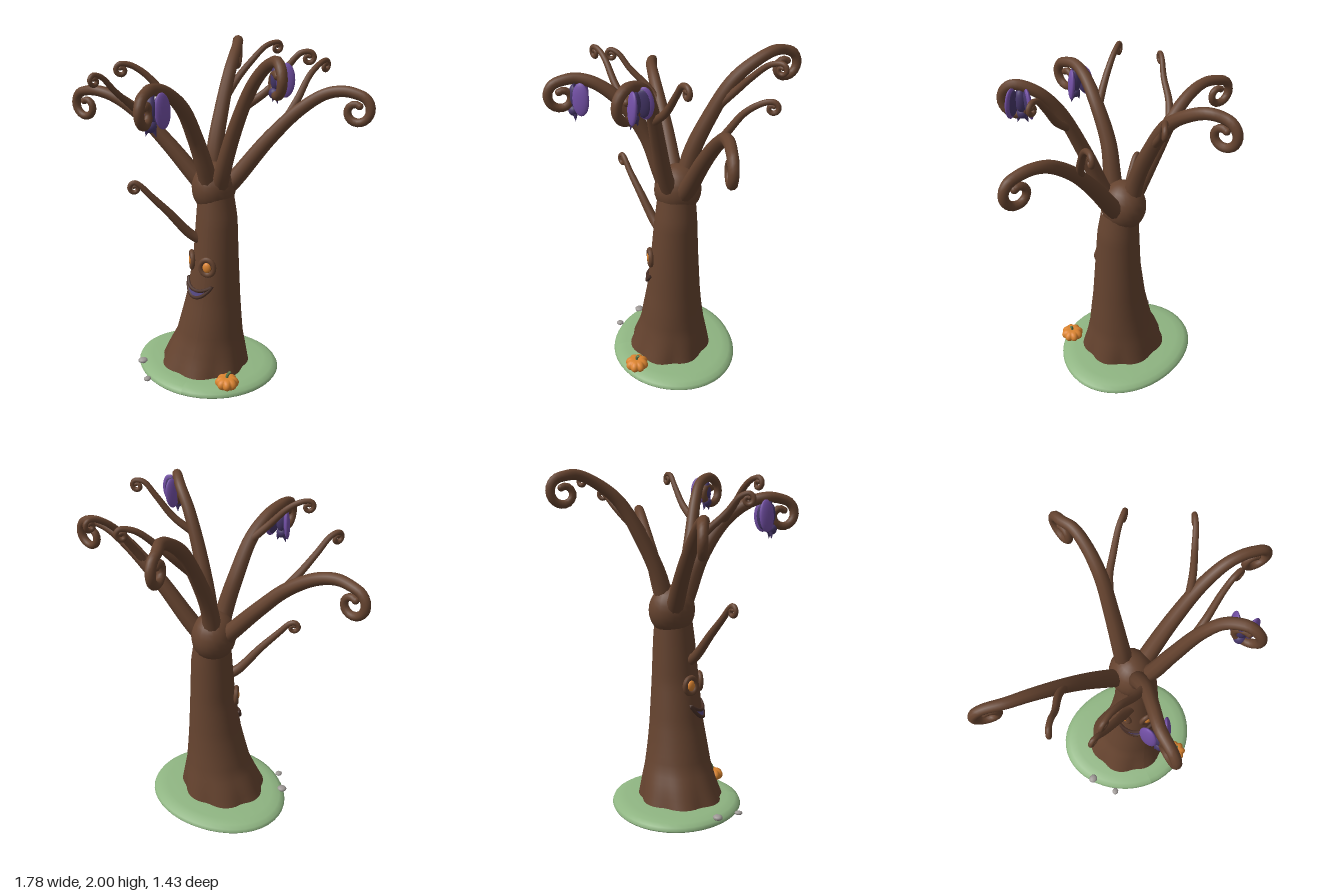
import * as THREE from 'three';
import { ParametricGeometry } from 'three/addons/geometries/ParametricGeometry.js';

const V = (x, y, z) => new THREE.Vector3(x, y, z);
const colour = (name, hex, side = THREE.FrontSide) => {
  const m = new THREE.MeshStandardMaterial({ color: hex, side });
  m.name = name;
  return m;
};

export function createModel() {
  const bark = colour('bark', 0x65432f);
  const darkBark = colour('darkBark', 0x4a3128);
  const grass = colour('grass', 0x8fb582);
  const orange = colour('orange', 0xdb8430);
  const stemGreen = colour('stemGreen', 0x5f7a4c);
  const stone = colour('stone', 0x9d9895);
  const batDark = colour('batDark', 0x46376a);
  const batWing = colour('batWing', 0x7350a6);
  const mouthPurple = colour('mouthPurple', 0x574a86, THREE.DoubleSide);

  const model = new THREE.Group();
  model.name = 'spookyTree';
  const add = (name, geo, mat, pos = [0, 0, 0], parent = model) => {
    const mesh = new THREE.Mesh(geo, mat);
    mesh.name = name;
    mesh.position.set(...pos);
    parent.add(mesh);
    return mesh;
  };
  const ball = (name, mat, pos, scale, parent) => {
    const mesh = add(name, new THREE.SphereGeometry(1, 20, 14), mat, pos, parent);
    mesh.scale.set(...scale);
    return mesh;
  };
  const surface = (fn, nu, nv) => {
    const g = new ParametricGeometry((u, v, t) => t.copy(fn(u, v)), nu, nv);
    g.computeVertexNormals();
    return g;
  };

  // Trunk: elliptical rings, each row is y, min x, max x, min z, max z
  const rows = [
    [0.03, -0.30, 0.25, -0.205, 0.305], [0.15, -0.25, 0.23, -0.185, 0.262],
    [0.25, -0.20, 0.212, -0.165, 0.235], [0.38, -0.165, 0.202, -0.147, 0.213],
    [0.5, -0.135, 0.192, -0.135, 0.192], [0.75, -0.093, 0.177, -0.12, 0.165],
    [1.0, -0.078, 0.165, -0.11, 0.14], [1.14, -0.07, 0.14, -0.1, 0.12],
  ];
  // Point on the bark; angle 0 faces +z and grows towards +x
  const onTrunk = (angle, y, out = 0) => {
    let i = 0;
    while (i < rows.length - 2 && y > rows[i + 1][0]) i++;
    const f = (y - rows[i][0]) / (rows[i + 1][0] - rows[i][0]);
    const [, x0, x1, z0, z1] = rows[i].map((a, k) => THREE.MathUtils.lerp(a, rows[i + 1][k], f));
    const flare = Math.max(0, 1 - y / 0.4) ** 2;
    const lobe = 1 + flare * (0.11 * Math.abs(Math.cos(3.5 * angle - 0.6)) - 0.07);
    const rx = (x1 - x0) / 2 * lobe + out, rz = (z1 - z0) / 2 * lobe + out;
    return V((x0 + x1) / 2 + rx * Math.sin(angle), y, (z0 + z1) / 2 + rz * Math.cos(angle));
  };
  add('trunk', surface((u, v) => onTrunk(u * Math.PI * 2, 0.03 + 1.11 * v), 56, 30), bark);
  ball('crown', bark, [0.017, 1.18, 0], [0.128, 0.15, 0.138]);

  // Branch: tapered tube through points, ending in a spiral curl around a centre
  const branch = (name, pts, centre, heading, R, r0, r1) => {
    const c = V(...centre), h = V(heading[0], 0, heading[1]).normalize();
    const path = pts.map(p => V(...p));
    const steps = 13, turn = Math.PI * 2 * 1.08;
    for (let i = 0; i <= steps; i++) {
      const t = i / steps, a = t * turn, r = R * (1 - 0.66 * t);
      path.push(c.clone().addScaledVector(h, r * Math.sin(a)).add(V(0, r * Math.cos(a), 0)));
    }
    const curve = new THREE.CatmullRomCurve3(path, false, 'centripetal');
    const seg = 72, sides = 10;
    const geo = new THREE.TubeGeometry(curve, seg, 1, sides);
    const p = geo.attributes.position, q = V(0, 0, 0);
    for (let i = 0; i <= seg; i++) {
      const mid = curve.getPointAt(i / seg);
      const r = r1 + (r0 - r1) * (1 - i / seg) ** 1.1;
      for (let j = 0; j <= sides; j++) {
        const k = i * (sides + 1) + j;
        q.fromBufferAttribute(p, k).sub(mid).multiplyScalar(r).add(mid);
        p.setXYZ(k, q.x, q.y, q.z);
      }
    }
    add(name, geo, bark);
    ball(name + 'Tip', bark, path[path.length - 1].toArray(), [r1, r1, r1]);
  };

  // Five main limbs
  branch('rightLimb', [[0, 1.13, 0], [-0.1, 1.24, 0.01], [-0.26, 1.42, 0.03], [-0.41, 1.57, 0.055], [-0.57, 1.67, 0.07],
    [-0.69, 1.7, 0.07]], [-0.79, 1.6, 0.05], [-1, -0.15], 0.09, 0.056, 0.02);
  branch('leftLimb', [[0.04, 1.12, 0], [0.14, 1.24, -0.04], [0.32, 1.48, -0.09], [0.48, 1.65, -0.125],
    [0.62, 1.745, -0.14], [0.72, 1.765, -0.14]], [0.79, 1.665, -0.135], [1, 0.05], 0.09, 0.056, 0.02);
  branch('frontLeftLimb', [[0.06, 1.15, 0.03], [0.1, 1.28, 0.08], [0.19, 1.55, 0.13], [0.31, 1.82, 0.18],
    [0.4, 1.93, 0.225]], [0.475, 1.87, 0.295], [0.62, 0.78], 0.097, 0.052, 0.02);
  branch('frontLimb', [[0.02, 1.15, 0.05], [0.01, 1.3, 0.1], [-0.02, 1.5, 0.17], [-0.04, 1.7, 0.3],
    [-0.07, 1.8, 0.43], [-0.09, 1.83, 0.54]], [-0.085, 1.73, 0.62], [0.1, 1], 0.09, 0.056, 0.02);
  branch('backLimb', [[0, 1.15, -0.03], [-0.01, 1.38, -0.08], [-0.01, 1.6, -0.18], [-0.01, 1.81, -0.31],
    [-0.025, 1.91, -0.44], [-0.05, 1.95, -0.54]], [-0.085, 1.85, -0.61], [-0.25, -1], 0.09, 0.056, 0.02);

  // Thin twigs
  const twig = (name, pts, centre, heading, r0 = 0.024) => branch(name, pts, centre, heading, 0.033, r0, 0.012);
  twig('rightTwig', [[-0.38, 1.55, 0.05], [-0.44, 1.64, 0.12], [-0.49, 1.74, 0.22], [-0.53, 1.82, 0.28]],
    [-0.555, 1.805, 0.32], [-0.4, 0.9]);
  twig('frontTwig', [[-0.03, 1.67, 0.27], [-0.13, 1.78, 0.33], [-0.22, 1.88, 0.37], [-0.28, 1.92, 0.4]],
    [-0.32, 1.895, 0.425], [-0.85, 0.5]);
  twig('leftTwig', [[0.4, 1.58, -0.11], [0.45, 1.7, -0.18], [0.49, 1.82, -0.26], [0.53, 1.88, -0.34]],
    [0.545, 1.855, -0.38], [0.35, -0.9]);
  twig('frontLeftTwig', [[0.26, 1.7, 0.16], [0.37, 1.79, 0.11], [0.46, 1.91, 0.07], [0.52, 1.98, 0.05]],
    [0.56, 1.955, 0.035], [0.9, -0.35]);
  twig('backTwig', [[0, 1.67, -0.23], [0.04, 1.77, -0.32], [0.09, 1.85, -0.38], [0.16, 1.94, -0.46]],
    [0.21, 1.925, -0.51], [0.65, -0.75]);
  twig('lowTwig', [[-0.02, 0.87, 0.09], [-0.08, 0.92, 0.13], [-0.18, 1.06, 0.2], [-0.27, 1.17, 0.255],
    [-0.32, 1.23, 0.28]], [-0.345, 1.21, 0.29], [-0.85, 0.45], 0.032);

  // Eyes: raised ring, dark socket and orange ball
  for (const [name, angle] of [['leftEye', 0.05], ['rightEye', -1.03]]) {
    const eye = new THREE.Group();
    eye.name = name;
    eye.position.copy(onTrunk(angle, 0.74, 0.002));
    eye.rotation.y = angle;
    model.add(eye);
    add('eyeRing', new THREE.TorusGeometry(0.042, 0.015, 10, 28), bark, [0, 0, 0.004], eye).scale.y = 1.12;
    ball('eyeSocket', darkBark, [0, 0, 0], [0.04, 0.046, 0.012], eye);
    ball('eyeball', orange, [0, 0, 0.008], [0.026, 0.032, 0.016], eye);
  }

  // Smile: purple strip wrapped on the bark with a lip around it
  const smile = (u, v, out) => {
    const s = 2 * u - 1, arch = 1 - s * s;
    return onTrunk(-0.4 + 0.7 * s, 0.622 - arch * (0.084 - 0.044 * v), out);
  };
  add('mouth', surface((u, v) => smile(u, v, 0.008), 24, 4), mouthPurple);
  const lip = [];
  for (let i = 0; i < 14; i++) lip.push(smile(i / 14, 0, 0.006));
  for (let i = 14; i > 0; i--) lip.push(smile(i / 14, 1, 0.006));
  add('lips', new THREE.TubeGeometry(new THREE.CatmullRomCurve3(lip, true), 80, 0.011, 8, true), darkBark);

  // Grassy mound
  const rim = [[0, 0], [0.99, 0], [1, 0.008], [0.98, 0.025], [0.92, 0.04], [0.8, 0.05], [0.5, 0.055], [0, 0.055]];
  add('ground', surface((u, v) => {
    const a = u * Math.PI * 2, [r, y] = rim[Math.round(v * (rim.length - 1))];
    const w = r * (1 + 0.02 * Math.sin(3 * a + 1));
    return V(-0.017 + 0.447 * w * Math.sin(a), y, 0.018 + 0.388 * w * Math.cos(a));
  }, 48, rim.length - 1), grass);

  // Pumpkin with eight ribs
  add('pumpkin', surface((u, v) => {
    const a = u * Math.PI * 2, b = (v - 0.5) * Math.PI;
    const rib = 0.84 + 0.16 * Math.abs(Math.sin(4 * a));
    const r = 0.071 * Math.cos(b) * rib;
    return V(r * Math.sin(a), 0.044 * Math.sin(b) * (1 - 0.25 * Math.abs(Math.sin(b)) ** 6), r * Math.cos(a));
  }, 64, 16), orange, [0.225, 0.077, 0.285]);
  const stemPath = new THREE.CatmullRomCurve3([V(0, 0, 0), V(0.002, 0.02, 0), V(0.014, 0.038, -0.008)]);
  add('pumpkinStem', new THREE.TubeGeometry(stemPath, 8, 0.009, 7), stemGreen, [0.225, 0.105, 0.285]);
  ball('stemEnd', stemGreen, [0.239, 0.143, 0.277], [0.009, 0.005, 0.009]);

  // Stones
  for (const [x, y, z, s] of [[-0.375, 0.04, 0.215, 0.03], [-0.27, 0.016, 0.357, 0.023]]) {
    const rock = add('stone', new THREE.DodecahedronGeometry(1, 1), stone, [x, y, z]);
    rock.scale.set(s, s * 0.55, s * 0.9);
    rock.rotation.y = x * 7;
  }

  // Bats hanging upside down, wings folded round the back
  const bat = (name, pos, turn, size) => {
    const g = new THREE.Group();
    g.name = name;
    g.position.set(...pos);
    g.rotation.y = turn;
    g.scale.setScalar(size);
    model.add(g);
    ball('batBody', batDark, [0, 0.02, 0.01], [0.036, 0.07, 0.034], g);
    ball('batHead', batDark, [0, -0.06, 0.02], [0.034, 0.032, 0.032], g);
    for (const s of [-1, 1]) {
      const ear = add('batEar', new THREE.ConeGeometry(0.014, 0.04, 8), batDark, [s * 0.025, -0.096, 0.015], g);
      ear.rotation.z = Math.PI + s * 0.3;
      add('batFoot', new THREE.CylinderGeometry(0.007, 0.007, 0.05, 6), batDark, [s * 0.015, 0.095, 0.01], g);
      const wing = new THREE.Group();
      wing.name = 'batWing';
      wing.position.set(s * 0.05, 0.015, -0.02);
      wing.rotation.set(0, -s * 0.45, s * 0.08);
      g.add(wing);
      ball('wingOuter', batWing, [0, 0, 0], [0.018, 0.092, 0.05], wing);
      ball('wingInner', batDark, [-s * 0.006, 0, 0.008], [0.017, 0.08, 0.045], wing);
    }
  };
  bat('frontBat', [-0.09, 1.71, 0.54], 0, 1);
  bat('leftBat', [0.475, 1.865, 0.265], -0.8, 0.92);

  return model;
}
